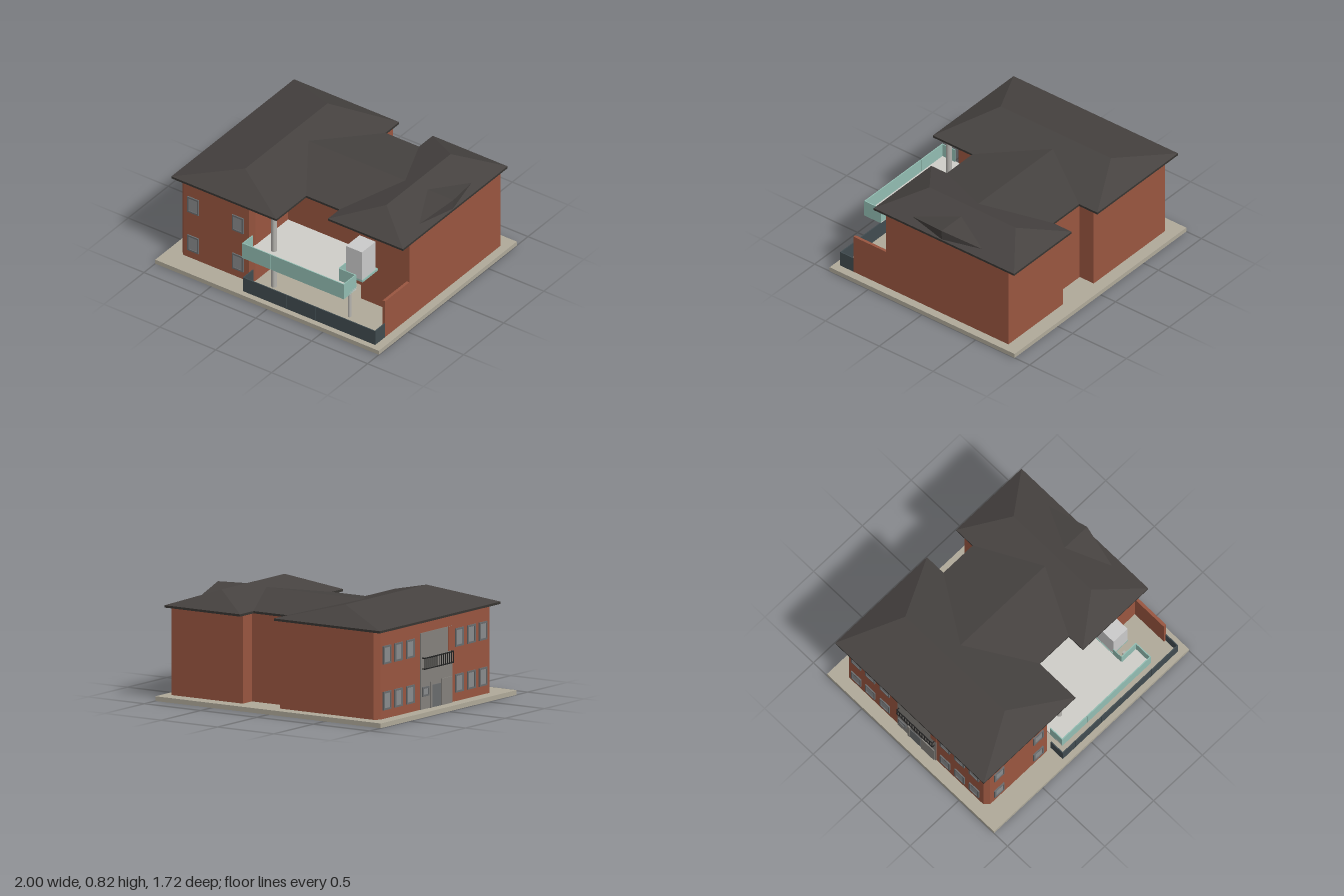
import * as THREE from 'three';

const mat = (color, side = THREE.FrontSide) => new THREE.MeshStandardMaterial({ color, side, flatShading: true });
const M = {
  brick: mat(0x9a5640), roof: mat(0x464240, THREE.DoubleSide), eave: mat(0x383532), ground: mat(0xb0aa9a),
  floor: mat(0xcfcec9), rail: mat(0x93beb3), slate: mat(0x414c50), frame: mat(0x6a6c6e), glass: mat(0x8a8c8e),
  stone: mat(0x85827d), column: mat(0xb5b3ae), iron: mat(0x222222), white: mat(0xd2d2ce),
};

export function createModel() {
  const house = new THREE.Group();
  house.name = 'house';

  const add = (name, geometry, material, parent = house) => {
    const mesh = new THREE.Mesh(geometry, material);
    mesh.name = name;
    parent.add(mesh);
    return mesh;
  };
  // Box given by its extents on each axis
  const box = (name, material, x0, x1, y0, y1, z0, z1, parent) => {
    const mesh = add(name, new THREE.BoxGeometry(x1 - x0, y1 - y0, z1 - z0), material, parent);
    mesh.position.set((x0 + x1) / 2, (y0 + y1) / 2, (z0 + z1) / 2);
    return mesh;
  };
  // Plan outline (x, z) raised from y0 to y1
  const raise = (name, material, plan, y0, y1) => {
    const shape = new THREE.Shape(plan.map(([x, z]) => new THREE.Vector2(x, -z)));
    const g = new THREE.ExtrudeGeometry(shape, { depth: y1 - y0, bevelEnabled: false });
    g.rotateX(-Math.PI / 2).translate(0, y0, 0);
    return add(name, g, material);
  };
  // Flat faces of three or four corners
  const faces = (name, list) => {
    const pos = [];
    for (const f of list) {
      for (let i = 1; i < f.length - 1; i++) pos.push(...f[0], ...f[i], ...f[i + 1]);
    }
    const g = new THREE.BufferGeometry();
    g.setAttribute('position', new THREE.Float32BufferAttribute(pos, 3));
    g.computeVertexNormals();
    return add(name, g, M.roof);
  };

  box('groundSlab', M.ground, -1, 1, 0, 0.035, -0.86, 0.86);

  // Brick body: two wings and a recessed centre, chamfered corners on the big wing
  const c = 0.035;
  raise('brickWalls', M.brick, [
    [-0.905, 0.69 - c], [-0.905 + c, 0.69], [-0.25 - c, 0.69], [-0.25, 0.69 - c], [-0.25, 0.25], [0.505, 0.25],
    [0.505, 0.39], [0.935, 0.39], [0.935, -0.75], [0.3, -0.75], [0.3, -0.635], [-0.04, -0.635],
    [-0.04, -0.765], [-0.905 + c, -0.765], [-0.905, -0.765 + c],
  ], 0.035, 0.69);
  box('yardWall', M.brick, 0.912, 0.935, 0.035, 0.35, 0.385, 0.69);

  // Hip roofs of the wings
  const E = 0.705, R = 0.82;
  const hipRoof = (name, x0, x1, z0, z1, xr, zr0, zr1) => {
    box(name + 'Eave', M.eave, x0, x1, 0.688, E, z0, z1);
    const a = [x0, E, z0], b = [x1, E, z0], d = [x1, E, z1], e = [x0, E, z1];
    const r0 = [xr, R, zr0], r1 = [xr, R, zr1];
    faces(name, [[a, e, r1, r0], [d, b, r0, r1], [b, a, r0], [e, d, r1]]);
  };
  hipRoof('leftBlockRoof', -0.96, -0.02, -0.815, 0.715, -0.485, -0.57, 0.455);
  hipRoof('rightBlockRoof', 0.28, 0.95, -0.815, 0.49, 0.62, -0.565, 0.235);

  // Centre roof meeting both wings along valleys
  const m0 = [-0.35, 0.786, -0.14], m1 = [0.52, 0.786, -0.14];
  box('centreEave', M.eave, -0.02, 0.28, 0.688, E, -0.645, 0.345);
  faces('centreRoof', [
    [[-0.02, E, 0.345], [0.28, E, 0.345], m1, m0],
    [[0.28, E, -0.645], [-0.02, E, -0.645], m0, m1],
  ]);

  // Low dormer on the outer slope
  const back = [0.72, 0.786, -0.14], tip = [0.95, 0.786, -0.14], foot = [0.945, E, -0.14];
  const dA = [0.88, 0.729, 0.19], dB = [0.88, 0.729, -0.465];
  faces('dormer', [[back, dA, tip], [back, tip, dB], [dA, foot, tip], [tip, foot, dB]]);

  // Terrace with its supports
  raise('terraceFloor', M.floor, [
    [-0.255, 0.25], [-0.255, 0.81], [0.655, 0.81], [0.655, 0.66], [0.505, 0.66], [0.505, 0.25],
  ], 0.325, 0.35);
  box('blockPlatform', M.rail, 0.5, 0.655, 0.342, 0.36, 0.385, 0.58);
  box('terraceBlock', M.white, 0.505, 0.648, 0.36, 0.605, 0.41, 0.58);
  const post = (name, x, z, r, y1) => {
    const h = y1 - 0.035;
    add(name, new THREE.CylinderGeometry(r, r, h, 24), M.column).position.set(x, 0.035 + h / 2, z);
  };
  post('roofColumn', -0.102, 0.63, 0.022, 0.69);
  post('terraceColumn', 0.57, 0.625, 0.013, 0.345);

  // Terrace parapet panels
  const t = 0.008;
  box('parapetFront', M.rail, -0.255, -0.002, 0.325, 0.455, 0.815 - t, 0.815);
  box('parapetFront', M.rail, 0.002, 0.655, 0.325, 0.455, 0.815 - t, 0.815);
  box('parapetLeftEnd', M.rail, -0.255, -0.255 + t, 0.325, 0.455, 0.69, 0.815 - t);
  box('parapetRightEnd', M.rail, 0.655 - t, 0.655, 0.325, 0.455, 0.66, 0.815 - t);
  box('parapetReturn', M.rail, 0.505, 0.655 - t, 0.325, 0.455, 0.66, 0.66 + t);
  box('parapetInner', M.rail, 0.5, 0.505, 0.35, 0.455, 0.58, 0.66);

  // Slate garden fence in panels
  const seams = [-0.25, -0.117, 0.145, 0.4, 0.662, 0.935];
  for (let i = 0; i < seams.length - 1; i++) {
    box('fencePanel', M.slate, seams[i] + 0.001, seams[i + 1] - 0.001, 0.035, 0.155, 0.807, 0.815);
  }
  box('fenceEnd', M.slate, 0.927, 0.935, 0.035, 0.155, 0.69, 0.807);
  box('fenceEnd', M.slate, -0.25, -0.242, 0.035, 0.155, 0.69, 0.807);

  // Windows, built facing +z and turned to their wall
  const makeWindow = (x, y, z, turn, w = 0.1, h = 0.135) => {
    const g = new THREE.Group();
    g.name = 'window';
    const f = 0.013, x1 = w / 2, y1 = h / 2;
    for (const s of [-1, 1]) {
      box('frameSide', M.frame, s > 0 ? x1 - f : -x1, s > 0 ? x1 : f - x1, -y1, y1, -0.005, 0.01, g);
      box('frameBar', M.frame, f - x1, x1 - f, s > 0 ? y1 - f : -y1, s > 0 ? y1 : f - y1, -0.005, 0.01, g);
    }
    box('pane', M.glass, f - x1, x1 - f, f - y1, y1 - f, -0.005, 0.004, g);
    g.position.set(x, y, z);
    g.rotation.y = turn;
    house.add(g);
  };
  for (const y of [0.167, 0.505]) {
    for (const x of [-0.78, -0.38]) makeWindow(x, y, 0.69, 0);
    for (const z of [-0.65, -0.505, -0.355, 0.265, 0.415, 0.565]) makeWindow(-0.905, y, z, -Math.PI / 2);
  }

  // Entrance bay on the side wall
  box('entrancePanel', M.stone, -0.911, -0.9, 0.035, 0.6, -0.225, 0.175);
  box('entranceInset', M.brick, -0.913, -0.9, 0.42, 0.6, 0.12, 0.175);
  box('entranceDoor', M.frame, -0.916, -0.9, 0.035, 0.2, -0.09, 0.02);
  box('doorPier', M.stone, -0.92, -0.9, 0.035, 0.23, 0.03, 0.16);
  box('doorPier', M.stone, -0.92, -0.9, 0.035, 0.23, -0.11, -0.09);
  makeWindow(-0.911, 0.165, -0.17, -Math.PI / 2, 0.08, 0.07);

  // Iron balcony rail
  for (const y of [0.335, 0.415]) {
    box('balconyBar', M.iron, -0.937, -0.931, y - 0.004, y + 0.004, -0.21, 0.16);
    for (const z of [-0.207, 0.157]) box('balconyReturn', M.iron, -0.931, -0.905, y - 0.004, y + 0.004, z - 0.003, z + 0.003);
  }
  for (let i = 0; i <= 14; i++) {
    const z = -0.207 + i * 0.026;
    box('balconyBaluster', M.iron, -0.936, -0.932, 0.335, 0.415, z - 0.003, z + 0.003);
  }
  return house;
}
